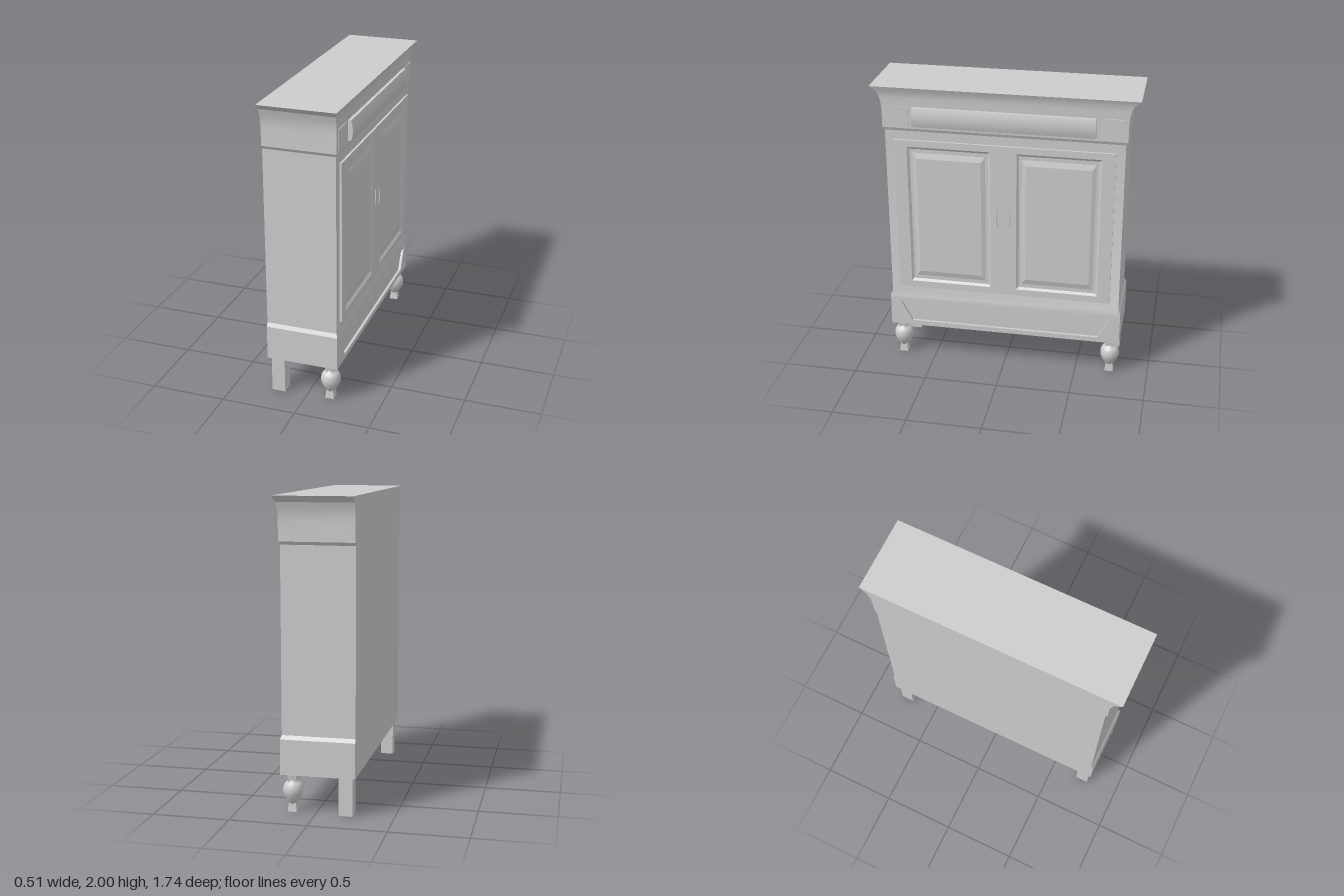
import * as THREE from 'three';
import { toCreasedNormals } from 'three/addons/utils/BufferGeometryUtils.js';

const paint = new THREE.MeshStandardMaterial({ color: 0xcccccc });
paint.name = 'light grey paint';

// Skin four-cornered rings; corners run counter-clockwise about the direction of travel
function loft(rings, capStart, crease = 0.1) {
  const pos = [];
  const tri = (a, b, c) => pos.push(...a, ...b, ...c);
  for (let r = 0; r < rings.length - 1; r++) {
    const a = rings[r], b = rings[r + 1];
    for (let i = 0; i < 4; i++) {
      const j = (i + 1) % 4;
      tri(a[i], a[j], b[j]);
      tri(a[i], b[j], b[i]);
    }
  }
  const s = rings[0], e = rings[rings.length - 1];
  tri(e[0], e[1], e[2]);
  tri(e[0], e[2], e[3]);
  if (capStart) {
    tri(s[0], s[2], s[1]);
    tri(s[0], s[3], s[2]);
  }
  const g = new THREE.BufferGeometry();
  g.setAttribute('position', new THREE.Float32BufferAttribute(pos, 3));
  return toCreasedNormals(g, crease);
}

const polygon = (pts, Type = THREE.Shape) => new Type(pts.map(p => new THREE.Vector2(...p)));
const rect = (x0, x1, y0, y1) => [[x0, y0], [x1, y0], [x1, y1], [x0, y1]];

// Flat board between two depths, with holes
function board(outline, holes, z0, z1) {
  const shape = polygon(outline);
  shape.holes = holes.map(h => polygon(h, THREE.Path));
  return new THREE.ExtrudeGeometry(shape, { depth: z1 - z0, bevelEnabled: false }).translate(0, 0, z0);
}

export function createModel() {
  const model = new THREE.Group();
  model.name = 'cabinet';
  const body = new THREE.Group(); // built facing +z, then turned to face +x
  body.name = 'cabinetBody';
  body.rotation.y = Math.PI / 2;
  model.add(body);
  const add = (name, geometry, parent = body) => {
    const m = new THREE.Mesh(geometry, paint);
    m.name = name;
    parent.add(m);
    return m;
  };

  // Carcass with plinth, coved frieze and cornice: [height, half width, front]
  const back = -0.26;
  const profile = [
    [0.25, 0.8, 0.204], [0.45, 0.8, 0.204], [0.45, 0.8, 0.222], [0.48, 0.8, 0.222],
    [0.505, 0.785, 0.213], [1.7, 0.785, 0.213], [1.72, 0.798, 0.222], [1.84, 0.798, 0.222],
    [1.89, 0.802, 0.223], [1.925, 0.811, 0.224], [1.96, 0.823, 0.227], [2.0, 0.87, 0.245],
  ];
  add('carcass', loft(profile.map(([y, w, f]) =>
    [[w, y, f], [w, y, back], [-w, y, back], [-w, y, f]]), true, 0.35));

  // Apron with a sunken trapezoid
  add('apron', board(rect(-0.8, 0.8, 0.25, 0.45),
    [[[-0.65, 0.285], [0.65, 0.285], [0.73, 0.435], [-0.73, 0.435]]], 0.204, 0.222));

  // Door frame with two openings
  const openings = [[-0.64, -0.087], [0.087, 0.64]];
  add('doorFrame', board(rect(-0.725, 0.725, 0.56, 1.64),
    openings.map(([a, b]) => rect(a, b, 0.607, 1.595)), 0.21, 0.228));

  // Moulded door panels: [side inset, top and bottom inset, depth]
  const moulding = [[0, 0, 0.228], [0.016, 0.016, 0.216], [0.034, 0.042, 0.216], [0.062, 0.08, 0.227]];
  for (const [a, b] of openings) {
    add('doorPanel', loft(moulding.map(([i, k, z]) =>
      rect(a + i, b - i, 0.607 + k, 1.595 - k).map(p => [...p, z])), false));
  }

  // Drawer front with a slightly swelling face
  const swell = polygon([[0.215, 1.74], [0.243, 1.74], [0.252, 1.77], [0.255, 1.803],
    [0.252, 1.84], [0.243, 1.87], [0.215, 1.87]]);
  const drawer = new THREE.ExtrudeGeometry(swell, { depth: 1.19, bevelEnabled: false })
    .translate(0, 0, -0.595).rotateY(-Math.PI / 2);
  add('drawerFront', toCreasedNormals(drawer, 0.5));

  for (const s of [-1, 1]) {
    // Corner blocks beside the drawer
    add('cornerBlock', new THREE.BoxGeometry(0.145, 0.13, 0.012)).position.set(s * 0.695, 1.805, 0.221);

    // Bowed door handles
    const bow = new THREE.CatmullRomCurve3([[0, 1.07, 0.227], [s * 0.006, 1.1, 0.231],
      [s * 0.01, 1.14, 0.233], [s * 0.006, 1.18, 0.231], [0, 1.21, 0.227]]
      .map(p => new THREE.Vector3(...p)));
    add('doorHandle', new THREE.TubeGeometry(bow, 16, 0.004, 6)).position.x = s * 0.036;

    // Turned front foot between square blocks
    const foot = new THREE.Group();
    foot.name = 'frontFoot';
    foot.position.set(s * 0.735, 0, 0.155);
    body.add(foot);
    const turned = [[0.024, 0.05], [0.034, 0.066], [0.05, 0.09], [0.062, 0.118], [0.065, 0.142],
      [0.061, 0.168], [0.05, 0.186], [0.03, 0.198], [0.026, 0.21]].map(p => new THREE.Vector2(...p));
    add('footBulb', new THREE.LatheGeometry(turned, 24), foot);
    const square = (h, y0, y1) => [[h, y0, h], [h, y0, -h], [-h, y0, -h], [-h, y0, h]].map(p => [p[0], y1 ?? y0, p[2]]);
    add('footBlock', loft([square(0.03, 0), square(0.023, 0.058)], true), foot);
    add('footNeck', loft([square(0.025, 0.19), square(0.032, 0.25)], true), foot);

    // Plain square back leg
    add('backLeg', new THREE.BoxGeometry(0.09, 0.25, 0.09)).position.set(s * 0.735, 0.125, -0.195);
  }
  return model;
}
